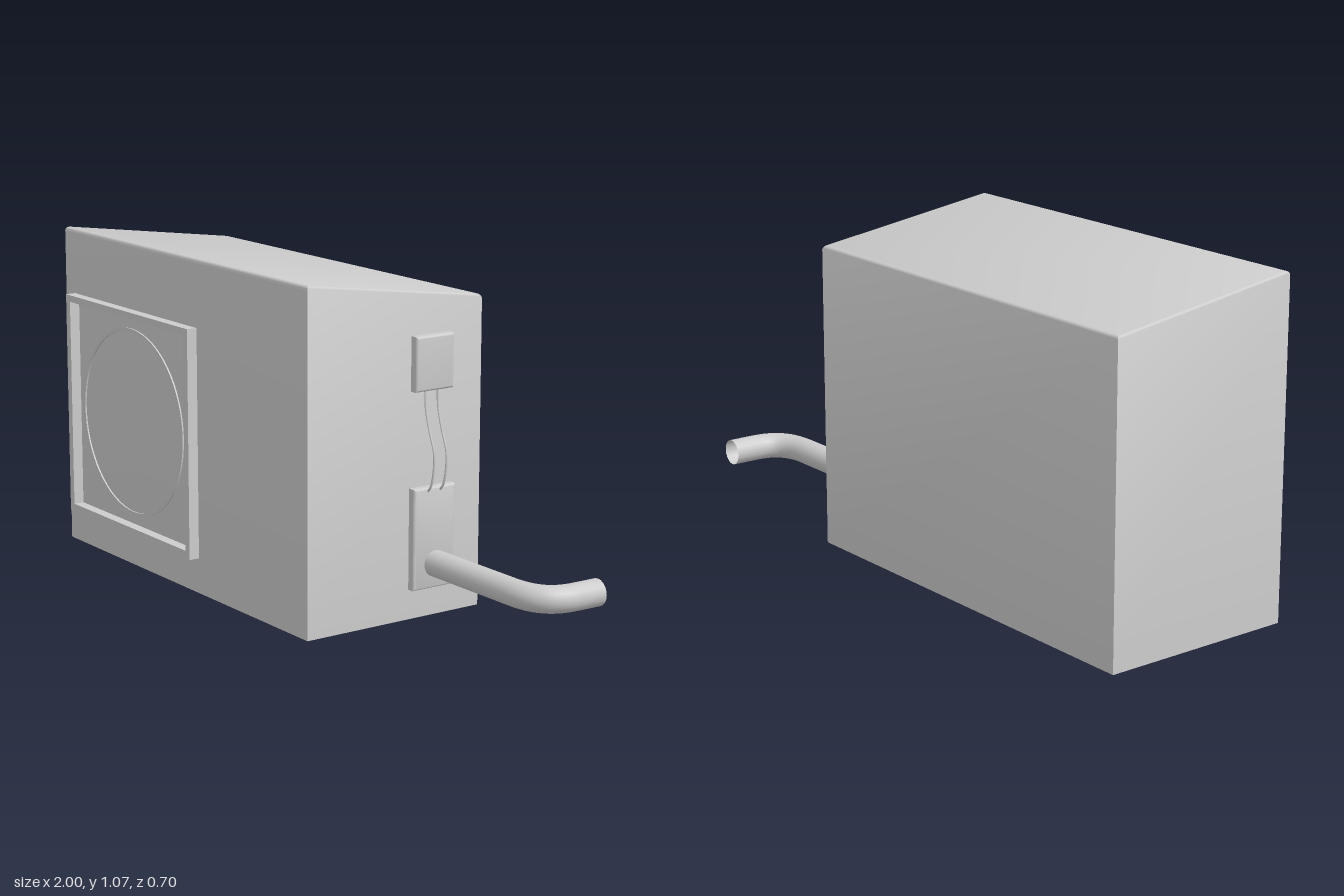
import * as THREE from 'three';
import { toCreasedNormals } from 'three/addons/utils/BufferGeometryUtils.js';

const grey = new THREE.MeshStandardMaterial({ color: 0xcccccc });
const greyDouble = new THREE.MeshStandardMaterial({ color: 0xcccccc, side: THREE.DoubleSide });

// Box standing on y = 0 with sharp uprights and softly rounded top edges.
// The top can fall towards the back by `drop`.
function softTopBox(w, h, d, r, drop = 0) {
  const steps = 4;
  const corners = [[-1, 1], [1, 1], [1, -1], [-1, -1]];
  const rings = [corners.map(([x, z]) => [x * w / 2, 0, z * d / 2])];
  for (let i = 0; i <= steps; i++) {
    const a = (i / steps) * Math.PI / 2;
    const inset = r * (1 - Math.cos(a));
    rings.push(corners.map(([sx, sz]) => {
      const z = sz * (d / 2 - inset);
      return [sx * (w / 2 - inset), h - drop * (0.5 - z / d) - r + r * Math.sin(a), z];
    }));
  }
  const pos = [];
  const quad = (a, b, c, e) => pos.push(...a, ...b, ...c, ...a, ...c, ...e);
  for (let k = 0; k < rings.length - 1; k++) {
    for (let i = 0; i < 4; i++) {
      const j = (i + 1) % 4;
      quad(rings[k][i], rings[k][j], rings[k + 1][j], rings[k + 1][i]);
    }
  }
  quad(...rings[rings.length - 1]);
  quad(...[...rings[0]].reverse());
  const geo = new THREE.BufferGeometry();
  geo.setAttribute('position', new THREE.Float32BufferAttribute(pos, 3));
  return toCreasedNormals(geo, 0.6);
}

function rectPath(target, x0, y0, x1, y1) {
  target.moveTo(x0, y0);
  target.lineTo(x1, y0);
  target.lineTo(x1, y1);
  target.lineTo(x0, y1);
  target.closePath();
  return target;
}

export function createModel() {
  const group = new THREE.Group();
  const add = (name, geo, x = 0, y = 0, z = 0, mat = grey) => {
    const mesh = new THREE.Mesh(geo, mat);
    mesh.name = name;
    mesh.position.set(x, y, z);
    group.add(mesh);
    return mesh;
  };

  const side = 0.412;      // x of the side wall
  const front = 0.315;     // z of the front wall

  // Main casing with sloping top
  add('casing', softTopBox(1.412, 1.076, 0.648, 0.014, 0.09), -0.294, 0, -0.009);

  // Square frame around the fan opening
  const frame = rectPath(new THREE.Shape(), -0.942, 0.115, -0.188, 0.857);
  frame.holes.push(rectPath(new THREE.Path(), -0.917, 0.14, -0.212, 0.835));
  add('fanFrame', new THREE.ExtrudeGeometry(frame, { depth: 0.035, bevelEnabled: false }), 0, 0, front);

  // Thin circular fan rim
  const rim = new THREE.Shape().absarc(0, 0, 0.311, 0, Math.PI * 2);
  rim.holes.push(new THREE.Path().absarc(0, 0, 0.301, 0, Math.PI * 2, true));
  const rimGeo = new THREE.ExtrudeGeometry(rim, { depth: 0.005, bevelEnabled: false, curveSegments: 32 });
  add('fanRim', toCreasedNormals(rimGeo, 0.6), -0.58, 0.483, front);

  // Side plates: upper junction box and lower pipe plate
  const sidePlate = (name, y0, y1, z0, z1) => {
    const geo = softTopBox(y1 - y0, 0.028, z1 - z0, 0.008);
    geo.rotateZ(-Math.PI / 2);
    add(name, geo, side, (y0 + y1) / 2, (z0 + z1) / 2);
  };
  sidePlate('junctionBox', 0.715, 0.885, -0.208, -0.065);
  sidePlate('pipePlate', 0.095, 0.415, -0.218, -0.061);

  // Pair of wires bowing out between the plates
  const wirePoints = [[0.42, 0.72], [0.424, 0.66], [0.444, 0.59], [0.466, 0.53], [0.466, 0.475], [0.452, 0.42], [0.434, 0.4]];
  for (const z of [-0.113, -0.16]) {
    const curve = new THREE.CatmullRomCurve3(wirePoints.map(([x, y]) => new THREE.Vector3(x, y, z)));
    add('wire', new THREE.TubeGeometry(curve, 32, 0.0035, 8), 0, 0, 0, greyDouble);
  }

  // Open pipe leaving the plate and bending to the back
  const v = (x, z) => new THREE.Vector3(x, 0.173, z);
  const pipe = new THREE.CurvePath();
  pipe.add(new THREE.LineCurve3(v(0.43, -0.143), v(0.81, -0.143)));
  pipe.add(new THREE.CubicBezierCurve3(v(0.81, -0.143), v(0.9, -0.143), v(0.951, -0.175), v(0.953, -0.26)));
  pipe.add(new THREE.LineCurve3(v(0.953, -0.26), v(0.956, -0.347)));
  add('pipe', new THREE.TubeGeometry(pipe, 48, 0.042, 20), 0, 0, 0, greyDouble);

  return group;
}
